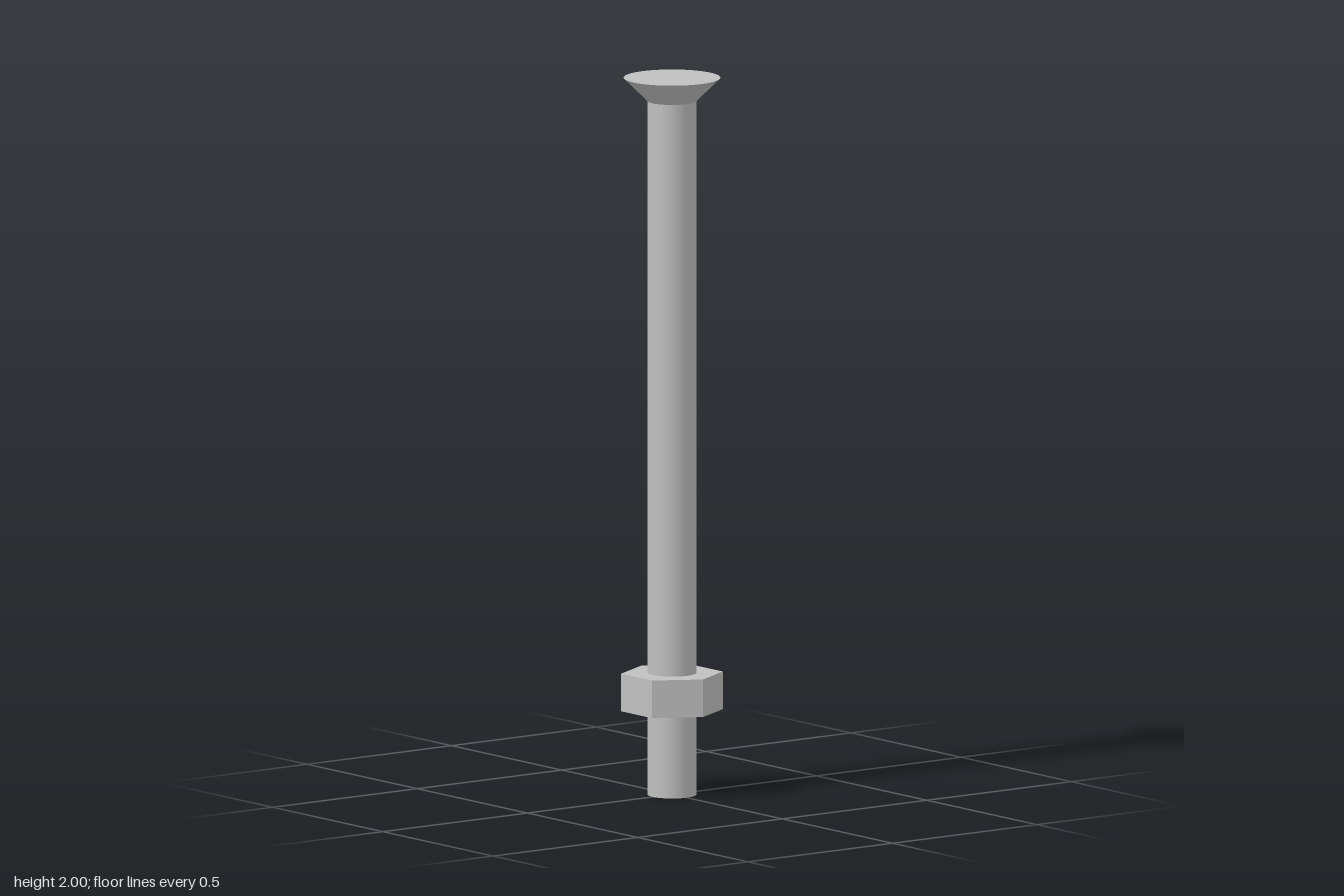
import * as THREE from 'three';

export function createModel() {
  const model = new THREE.Group();
  model.name = 'countersunkBolt';

  const steel = new THREE.MeshStandardMaterial({ color: 0xc0c0c0 });
  steel.name = 'steel';

  const shaftRadius = 0.067;
  const headBase = 1.935;

  const add = (name, geometry, y) => {
    const mesh = new THREE.Mesh(geometry, steel);
    mesh.name = name;
    mesh.position.y = y;
    model.add(mesh);
  };

  // Plain round shaft, standing on the ground
  add('shaft', new THREE.CylinderGeometry(shaftRadius, shaftRadius, headBase, 64), headBase / 2);

  // Flat-topped conical head
  const headHeight = 2 - headBase;
  add('head', new THREE.CylinderGeometry(0.133, shaftRadius, headHeight, 64), headBase + headHeight / 2);

  // Hexagonal nut with a round bore, corners on the x axis
  const hexagon = new THREE.Shape();
  for (let i = 0; i < 6; i++) {
    const a = (i * Math.PI) / 3;
    hexagon[i ? 'lineTo' : 'moveTo'](0.141 * Math.cos(a), 0.141 * Math.sin(a));
  }
  hexagon.closePath();
  const bore = new THREE.Path();
  bore.absarc(0, 0, shaftRadius - 0.001, 0, Math.PI * 2, true);
  hexagon.holes.push(bore);
  const nut = new THREE.ExtrudeGeometry(hexagon, { depth: 0.105, bevelEnabled: false, curveSegments: 32 });
  nut.rotateX(-Math.PI / 2);
  add('nut', nut, 0.235);

  return model;
}
